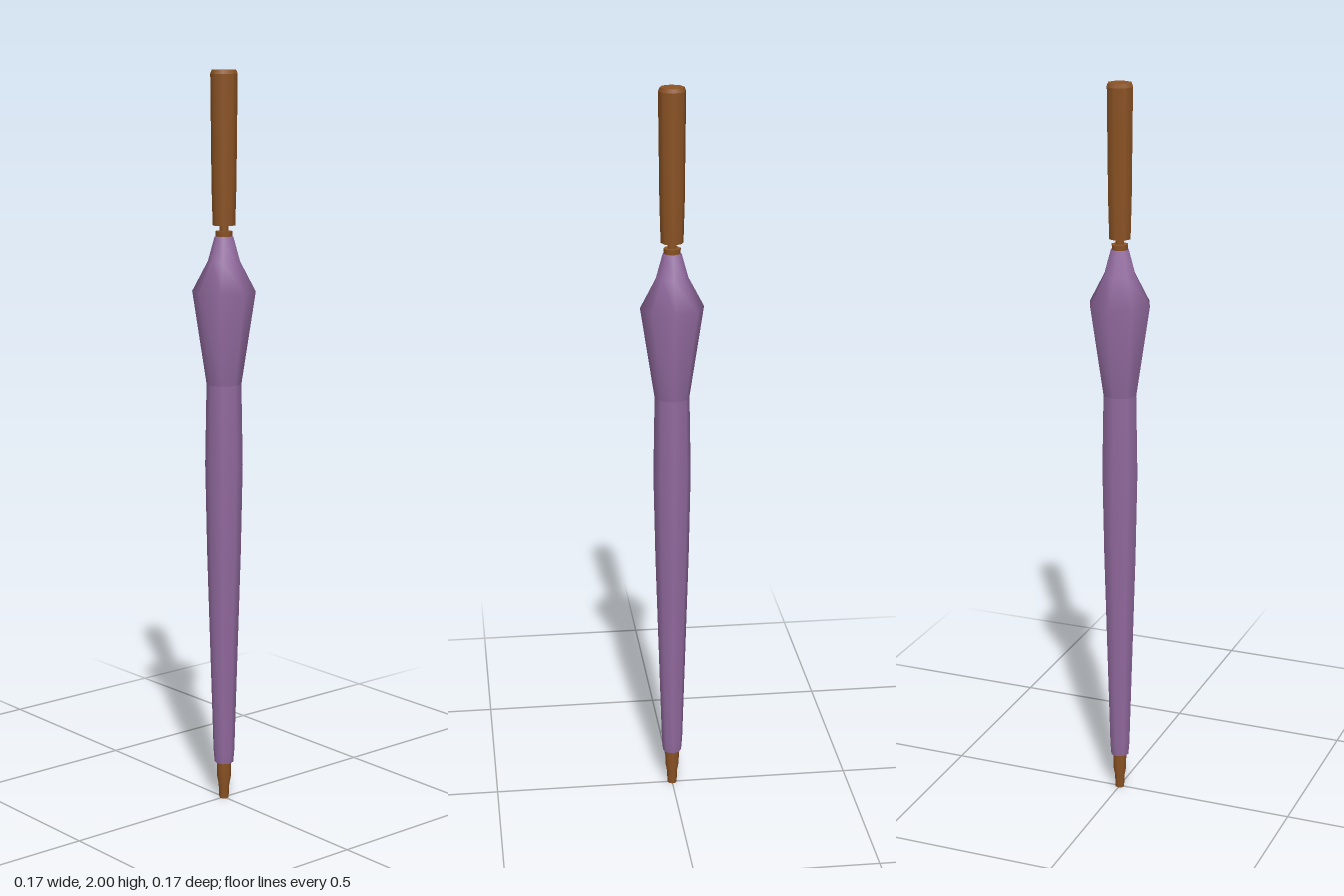
import * as THREE from 'three';
import { mergeGeometries } from 'three/addons/utils/BufferGeometryUtils.js';

const SIDES = 8;

// Turns [radius, y] profiles, listed upwards; each run is smooth, with a sharp edge between runs.
function turned(name, material, ...runs) {
  const parts = runs.map((run) =>
    new THREE.LatheGeometry(run.map(([r, y]) => new THREE.Vector2(r, y)), SIDES));
  const mesh = new THREE.Mesh(mergeGeometries(parts), material);
  mesh.name = name;
  return mesh;
}

export function createModel() {
  const fabric = new THREE.MeshStandardMaterial({ color: 0x916a9e });
  fabric.name = 'purple fabric';
  const wood = new THREE.MeshStandardMaterial({ color: 0x8b5324 });
  wood.name = 'brown wood';

  const umbrella = new THREE.Group();
  umbrella.name = 'closedUmbrella';

  umbrella.add(
    // tapered tip below the fabric
    turned('tip', wood,
      [[0, 0], [0.013, 0]],
      [[0.013, 0], [0.015, 0.04], [0.019, 0.06], [0.02, 0.115]]),

    // long rolled part of the canopy
    turned('rolledCanopy', fabric,
      [[0.015, 0.105], [0.026, 0.105]],
      [[0.026, 0.105], [0.029, 0.14], [0.046, 0.7], [0.051, 0.95], [0.047, 1.17]]),

    // loose flared hem of the canopy, gathered towards the handle
    turned('flaredHem', fabric,
      [[0.047, 1.17], [0.085, 1.42], [0.043, 1.5], [0.025, 1.565], [0.012, 1.57]]),

    // shaft and small collar between hem and handle
    turned('shaft', wood, [[0.012, 1.55], [0.012, 1.6]]),
    turned('collar', wood,
      [[0.022, 1.56], [0.023, 1.58]],
      [[0.023, 1.58], [0, 1.58]]),

    // straight grip
    turned('handle', wood,
      [[0, 1.595], [0.03, 1.595]],
      [[0.03, 1.595], [0.033, 1.7], [0.036, 1.99]],
      [[0.036, 1.99], [0.032, 2]],
      [[0.032, 2], [0, 2]])
  );
  return umbrella;
}
